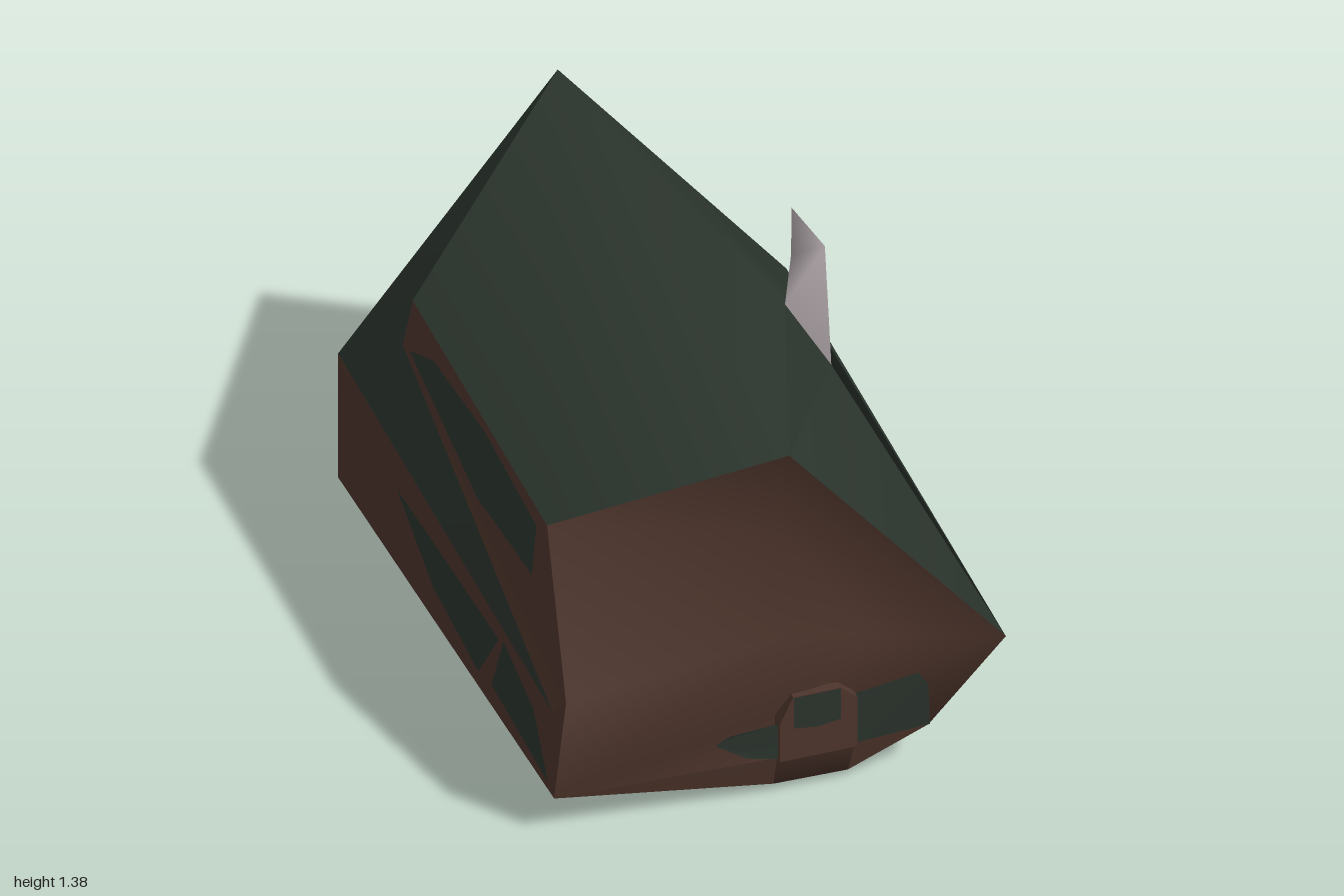
import * as THREE from 'three';

// Named corners of the cottage
const P = {
  ridgeF: [0, 1.235, 0.97], ridgeB: [0, 1.23, -0.96],
  eaveRF: [0.655, 0.42, 0.93], eaveRB: [0.655, 0.42, -0.9],
  eaveLF: [-0.66, 0.43, 0.86], eaveLB: [-0.66, 0.43, -0.93],
  baseRF: [0.44, 0.14, 0.89], baseRB: [0.655, 0, -0.93],
  baseLF: [-0.655, 0.13, 0.857], baseLB: [-0.66, 0, -0.93], baseMid: [0.02, 0.137, 0.895],
  // gable bulges and hollows
  hollow: [0, 0.9, 0.87], hollowR: [0.25, 0.52, 0.922], bulgeF: [-0.01, 0.63, 1],
  sill: [0.1, 0.3, 0.88], bulgeB: [0.11, 0.55, -1],
  // dormer
  dormF: [-0.585, 0.88, 0.6], dormB: [-0.585, 0.88, -0.52], dormLow: [-0.604, 0.71, -0.55],
  kick: [-0.637, 0.49, 0.905],
  // chimney
  chimL: [0.265, 1.15, 0.188], chimR: [0.405, 0.9, 0.18], chimBack: [0.365, 1.04, 0.02],
  chimTL: [0.3, 1.28, 0.14], chimTR: [0.4, 1.285, 0.14], chimTip: [0.33, 1.38, 0.06],
  // front step
  stepL: [-0.01, 0.03, 0.868], stepR: [0.21, 0.025, 0.868],
  stepTL: [-0.01, 0.15, 0.915], stepTR: [0.215, 0.15, 0.915],
  stepBL: [-0.01, 0.135, 0.85], stepBR: [0.21, 0.135, 0.85],
};

function material(name, color) {
  const m = new THREE.MeshStandardMaterial({ color, side: THREE.DoubleSide });
  m.name = name;
  return m;
}

export function createModel() {
  const group = new THREE.Group();
  const brown = material('brown wall', 0x4e352c);
  const green = material('dark green', 0x2b342d);
  const grey = material('chimney grey', 0xa59c9f);

  const add = (name, geometry, mat) => {
    const mesh = new THREE.Mesh(geometry, mat);
    mesh.name = name;
    group.add(mesh);
  };

  const build = (name, mat, points, index) => {
    const g = new THREE.BufferGeometry();
    g.setAttribute('position', new THREE.Float32BufferAttribute(points.flat(), 3));
    g.setIndex(index);
    g.computeVertexNormals();
    add(name, g, mat);
  };

  // Smooth surface from faces given as lists of corner names
  const surface = (name, mat, faces) => {
    const names = [...new Set(faces.join(' ').split(' '))];
    const index = [];
    for (const face of faces) {
      const c = face.split(' ').map((n) => names.indexOf(n));
      for (let i = 1; i < c.length - 1; i++) index.push(c[0], c[i], c[i + 1]);
    }
    build(name, mat, names.map((n) => P[n]), index);
  };

  // Thin pane fanned from its first corner
  const pane = (name, pts) => {
    const index = [];
    for (let i = 1; i < pts.length - 1; i++) index.push(0, i, i + 1);
    build(name, green, pts, index);
  };

  // Front, right and back walls
  surface('walls', brown, [
    'ridgeF dormF hollow', 'dormF bulgeF hollow', 'dormF kick bulgeF',
    'kick baseLF bulgeF', 'baseLF sill bulgeF', 'sill hollowR bulgeF', 'sill eaveRF hollowR',
    'bulgeF hollowR hollow', 'hollowR eaveRF hollow', 'hollow eaveRF ridgeF',
    'baseLF baseMid sill', 'baseMid baseRF sill', 'baseRF eaveRF sill',
    'baseRF baseRB eaveRF', 'baseRB eaveRB eaveRF',
    'bulgeB baseRB baseLB', 'bulgeB baseLB eaveLB', 'bulgeB eaveLB ridgeB',
    'bulgeB ridgeB eaveRB', 'bulgeB eaveRB baseRB',
  ]);
  surface('sideWall', brown, ['baseLB baseLF eaveLF eaveLB', 'eaveLF baseLF kick']);
  surface('dormerWall', brown, ['dormLow kick dormF dormB', 'dormLow eaveLF kick']);
  surface('dormerCheek', brown, ['ridgeB dormLow dormB']);
  surface('floor', green, ['baseMid baseLF baseLB baseRB baseRF']);

  // Roof
  surface('roof', green, [
    'ridgeB dormB dormF ridgeF', 'ridgeF chimL ridgeB', 'chimL chimBack ridgeB',
    'chimBack eaveRB ridgeB', 'chimBack eaveRF eaveRB', 'chimR eaveRF chimBack', 'chimL chimR chimBack',
    'ridgeF eaveRF chimR',
  ]);
  surface('roofFrontSlope', green, ['ridgeF chimR chimL']);
  surface('lowerRoof', green, ['eaveLB eaveLF dormLow', 'eaveLB dormLow ridgeB']);

  // Chimney
  surface('chimney', grey, [
    'chimL chimR chimTR chimTL', 'chimTL chimTR chimTip', 'chimR chimBack chimTip chimTR',
    'chimBack chimL chimTL chimTip',
  ]);

  // Skirt and wedge-shaped step under the door
  surface('frontSkirt', brown, ['baseLF stepL baseMid', 'baseMid stepL stepR baseRF']);
  surface('doorStep', brown, [
    'stepTL stepL stepR stepTR', 'stepTL stepBL stepL', 'stepTR stepR stepBR', 'stepBL stepBR stepR stepL',
  ]);

  // Porch
  const outline = [[-0.01, 0.14], [0.22, 0.14], [0.22, 0.31], [0.17, 0.355], [0.03, 0.355], [-0.01, 0.27]];
  const porch = new THREE.ExtrudeGeometry(
    new THREE.Shape(outline.map(([x, y]) => new THREE.Vector2(x, y))), { depth: 0.07, bevelEnabled: false });
  porch.translate(0, 0, 0.85);
  add('porch', porch, brown);
  pane('porchWindow', [[0.03, 0.25, 0.924], [0.1, 0.24, 0.924], [0.17, 0.25, 0.924], [0.17, 0.355, 0.924], [0.03, 0.355, 0.924]]);

  // Front windows
  pane('frontWindowLeft', [[0.22, 0.14, 0.903], [0.44, 0.15, 0.902], [0.43, 0.3, 0.917], [0.4, 0.35, 0.92], [0.22, 0.31, 0.902]]);
  pane('frontWindowRight', [[-0.19, 0.22, 0.89], [-0.1, 0.16, 0.9], [-0.01, 0.14, 0.903], [-0.01, 0.26, 0.903], [-0.15, 0.25, 0.9]]);

  // Side windows, as (z, y) outlines on each wall
  const side = (name, x, pts) => pane(name, pts.map(([z, y]) => [x, y, z]));
  side('leftSideWindow', 0.659, [[-0.48, 0.29], [-0.68, 0.18], [-0.86, 0.41], [-0.72, 0.345], [-0.6, 0.33]]);
  side('rightSideWindowBack', -0.664, [[-0.43, 0.31], [-0.13, 0.18], [0.25, 0.15], [0.42, 0.38], [0.1, 0.3]]);
  side('rightSideWindowFront', -0.664, [[0.36, 0.18], [0.83, 0.17], [0.71, 0.34], [0.46, 0.4]]);

  // Dormer window, following the sloping dormer wall
  const dormer = [[-0.48, 0.74], [0.12, 0.65], [0.56, 0.69], [0.54, 0.84], [0.1, 0.86], [-0.31, 0.82]];
  pane('dormerWindow', dormer.map(([z, y]) => [-0.59 - (0.88 - y) * 0.135, y, z]));

  return group;
}
